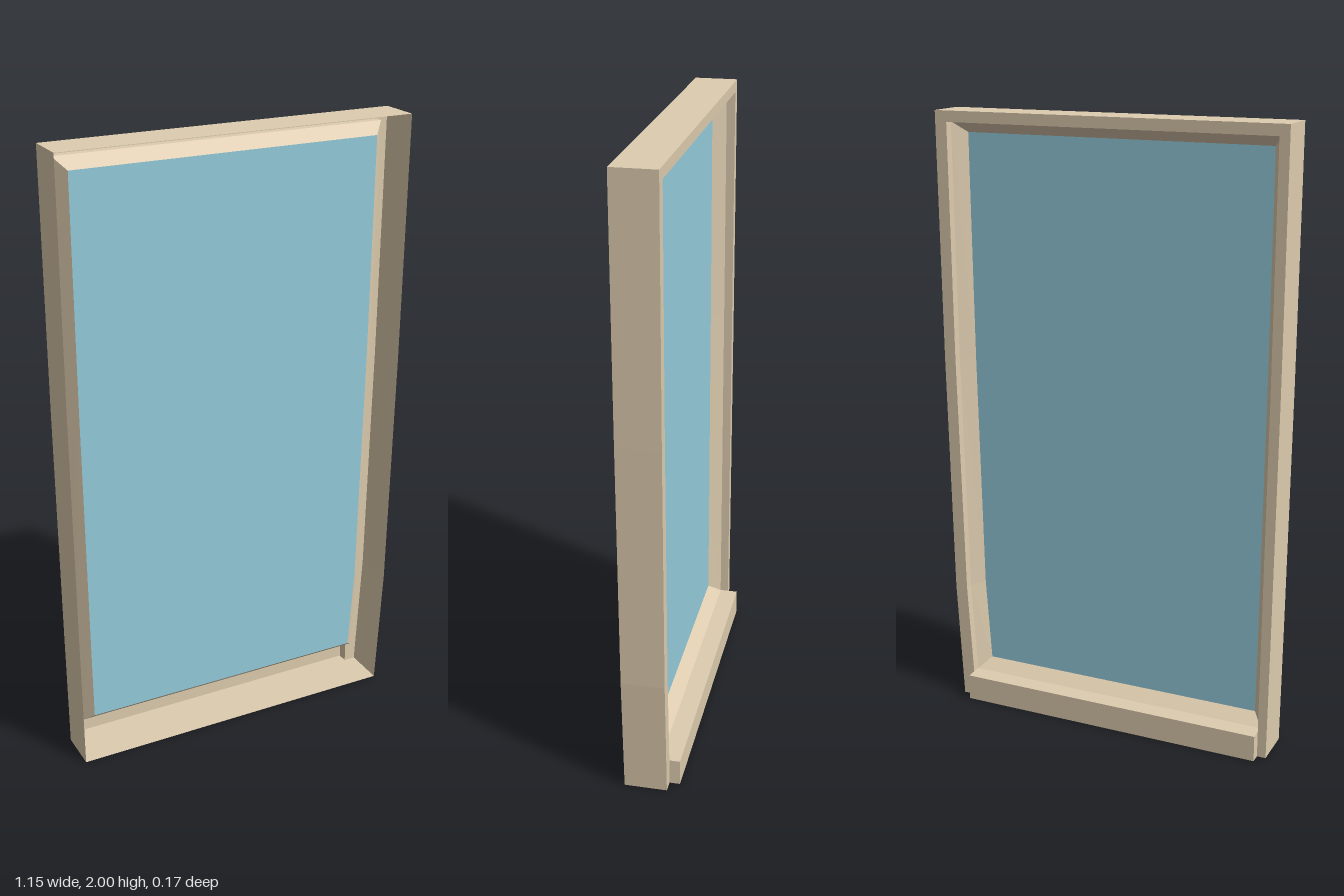
import * as THREE from 'three';

const wood = new THREE.MeshStandardMaterial({ color: 0xdeccaf, side: THREE.DoubleSide, flatShading: true });
const pane = new THREE.MeshStandardMaterial({ color: 0x95ccdc, side: THREE.DoubleSide, flatShading: true });

// Depths, from the back of the sill to the front rim
const SILL = -0.086, BACK = -0.052, STEP = -0.024, GLASS = 0.017, RIM = 0.085;

// Outlines run up the -x side, across the top and down the slightly bent +x side
const outer = [[-0.57, 0], [-0.573, 0.4], [-0.577, 1.2], [-0.577, 2],
  [0.577, 2], [0.571, 1.2], [0.558, 0.4], [0.537, 0]];
const opening = [[-0.541, 0.087], [-0.542, 0.4], [-0.545, 1.2], [-0.545, 1.965],
  [0.537, 1.965], [0.532, 1.2], [0.516, 0.4], [0.498, 0.087]];
const glazing = [[-0.507, 0.121], [-0.509, 0.4], [-0.513, 1.2], [-0.513, 1.93],
  [0.499, 1.93], [0.494, 1.2], [0.481, 0.4], [0.463, 0.121]];
const sillLoop = [[-0.541, 0], [-0.541, 0.087], [0.498, 0.087], [0.498, 0]];

// Closed wall joining an outline at depth zA to another at depth zB
function wall(a, zA, b, zB) {
  const pos = [];
  a.forEach((p, i) => {
    const j = (i + 1) % a.length;
    const a0 = [...p, zA], a1 = [...a[j], zA], b0 = [...b[i], zB], b1 = [...b[j], zB];
    pos.push(...a0, ...b0, ...b1, ...a0, ...b1, ...a1);
  });
  const g = new THREE.BufferGeometry();
  g.setAttribute('position', new THREE.Float32BufferAttribute(pos, 3));
  g.computeVertexNormals();
  return g;
}

// Flat sheet filling an outline at depth z
function sheet(points, z) {
  const shape = new THREE.Shape(points.map(([x, y]) => new THREE.Vector2(x, y)));
  return new THREE.ShapeGeometry(shape).translate(0, 0, z);
}

export function createModel() {
  const group = new THREE.Group();
  const add = (name, geometry, material = wood) => {
    const mesh = new THREE.Mesh(geometry, material);
    mesh.name = name;
    group.add(mesh);
  };

  // Casing: thin band around the window, open at the front
  add('casing', wall(outer, BACK, outer, RIM));

  // Back flange, left open at the bottom where the sill pocket begins
  const flange = [...outer, [0.498, 0], ...[...opening].reverse(), [-0.541, 0]];
  add('backFlange', sheet(flange, BACK));

  // Sash: a straight step, then a bevel up to the glass
  add('sashStep', wall(opening, BACK, opening, STEP));
  add('sashBevel', wall(opening, STEP, glazing, GLASS));
  add('glass', sheet(glazing, GLASS), pane);

  // Sill pocket pushed out at the back
  add('sillSides', wall(sillLoop, SILL, sillLoop, BACK));
  add('sillBack', sheet(sillLoop, SILL).scale(1, 1, 1));

  return group;
}
